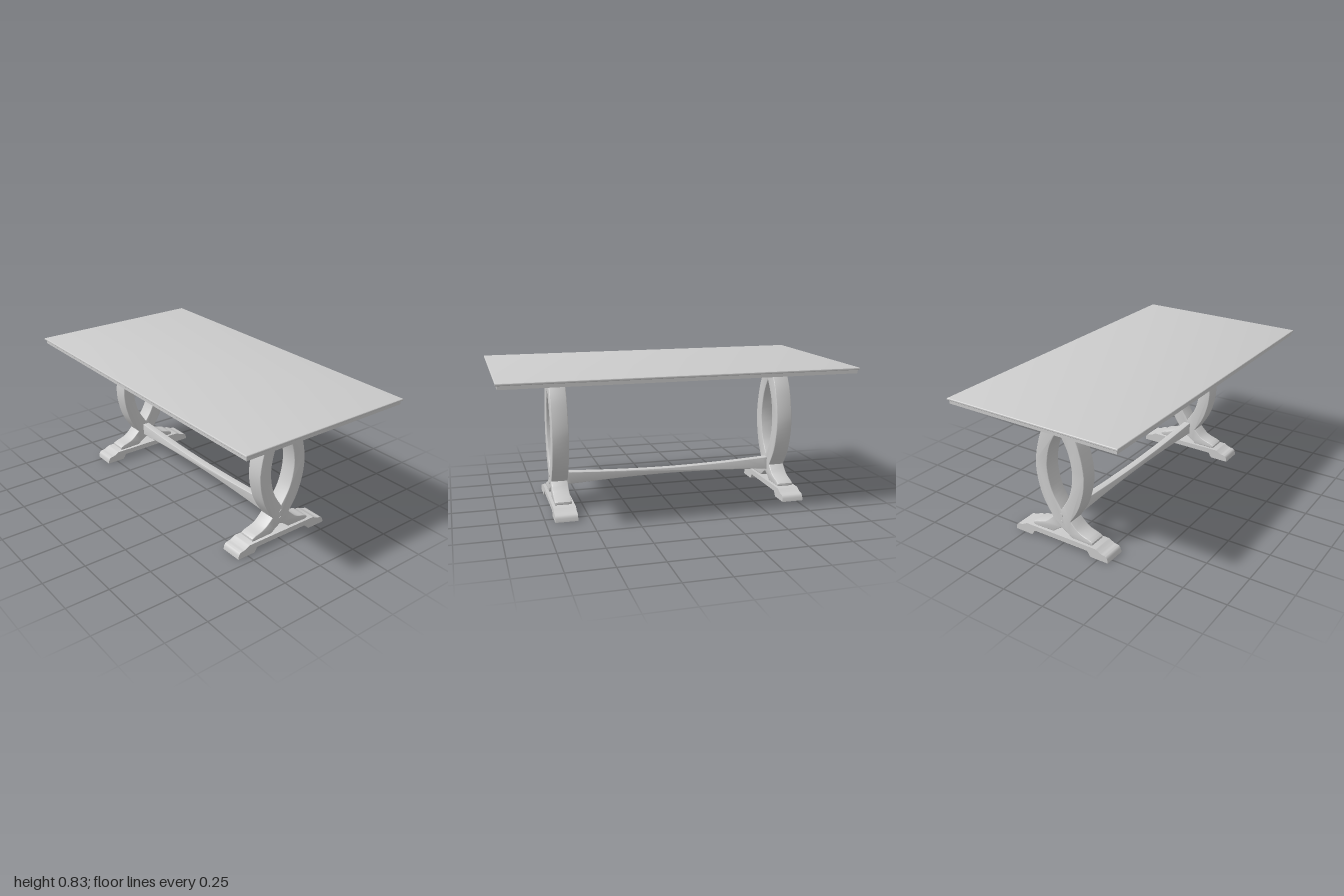
import * as THREE from 'three';
import { toCreasedNormals } from 'three/addons/utils/BufferGeometryUtils.js';

const material = new THREE.MeshStandardMaterial({ color: 0xcccccc });
const points = (list) => list.map(([x, y]) => new THREE.Vector2(x, y));
const mirrored = (list) => list.map(([x, y]) => [-x, y]).reverse();

function mesh(name, geometry, parent) {
  const m = new THREE.Mesh(toCreasedNormals(geometry, 0.6), material);
  m.name = name;
  parent.add(m);
  return m;
}

// Extrusion centred on its depth, with the bevel kept inside the outline
function slab(shape, depth, bevel) {
  const geometry = new THREE.ExtrudeGeometry(shape, {
    depth: depth - 2 * bevel, bevelEnabled: bevel > 0, bevelThickness: bevel,
    bevelSize: bevel, bevelOffset: -bevel, bevelSegments: 3, curveSegments: 16,
  });
  return geometry.translate(0, 0, bevel - depth / 2);
}

function rectangle(w, d) {
  return new THREE.Shape(points([[-w / 2, -d / 2], [w / 2, -d / 2], [w / 2, d / 2], [-w / 2, d / 2]]));
}

// Smooth run of [x, y] pairs through a few control points
function smooth(list, n = 24) {
  return new THREE.SplineCurve(points(list)).getPoints(n).map((p) => [p.x, p.y]);
}

// Pedestal leg: two bowed, crossing members with an almond opening
function legShape() {
  const side = [
    ...smooth([[0, 0.105], [0.03, 0.088], [0.063, 0.062]], 6),
    [0.196, 0.06], [0.203, 0.066],
    ...smooth([[0.202, 0.077], [0.182, 0.088], [0.135, 0.102], [0.1, 0.121], [0.06, 0.16]], 16),
    ...smooth([[0.06, 0.16], [0.128, 0.28], [0.16, 0.45], [0.122, 0.635], [0.051, 0.763]]).slice(1),
    [0.1, 0.797],
  ];
  const shape = new THREE.Shape(points([...side, ...mirrored(side).slice(0, -1)]));
  const inner = smooth([[0, 0.22], [0.058, 0.32], [0.083, 0.453], [0.058, 0.585], [0, 0.69]]);
  shape.holes.push(new THREE.Path(points([...inner, ...mirrored(inner).slice(1, -1)])));
  return shape;
}

// Scrolled foot with a shallow cut-out underneath
function footShape() {
  const side = [
    [0.178, 0.03], [0.186, 0.025], [0.192, 0.012], [0.202, 0], [0.315, 0],
    ...smooth([[0.314, 0.012], [0.308, 0.029], [0.295, 0.039], [0.272, 0.043], [0.252, 0.052], [0.236, 0.061]], 14),
  ];
  return new THREE.Shape(points([...side, ...mirrored(side)]));
}

export function createModel() {
  const table = new THREE.Group();
  table.name = 'trestleTable';

  // Table top: rounded upper board over a slightly smaller one
  mesh('topBoard', slab(rectangle(2, 1.066), 0.013, 0.005).rotateX(-Math.PI / 2), table).position.y = 0.8225;
  mesh('topUnderBoard', slab(rectangle(1.982, 1.048), 0.022, 0).rotateX(-Math.PI / 2), table).position.y = 0.807;

  // Trestles
  const legX = { right: -0.725, left: 0.634 };
  for (const [name, x] of Object.entries(legX)) {
    const trestle = new THREE.Group();
    trestle.name = name + 'Trestle';
    trestle.position.x = x;
    table.add(trestle);
    mesh('leg', slab(legShape(), 0.096, 0.004).rotateY(Math.PI / 2), trestle).position.z = 0.003;
    mesh('foot', slab(footShape(), 0.128, 0).rotateY(Math.PI / 2), trestle);
    // Bolt plugs on the outer face
    for (const y of [0.14, 0.183]) {
      const plug = mesh('plug', new THREE.CylinderGeometry(0.011, 0.011, 0.01, 16).rotateZ(Math.PI / 2), trestle);
      plug.position.set(Math.sign(x) * 0.046, y, 0.002);
    }
  }

  // Stretcher, waisted toward the middle
  const a = legX.right + 0.045, b = legX.left - 0.045, mid = (a + b) / 2;
  const q = (b - a) / 4;
  const lower = smooth([[a, 0.125], [mid - q, 0.14], [mid, 0.146], [mid + q, 0.14], [b, 0.125]]);
  const upper = smooth([[b, 0.2], [mid + q, 0.185], [mid, 0.179], [mid - q, 0.185], [a, 0.2]]);
  mesh('stretcher', slab(new THREE.Shape(points([...lower, ...upper])), 0.044, 0.003), table).position.z = 0.002;

  return table;
}
